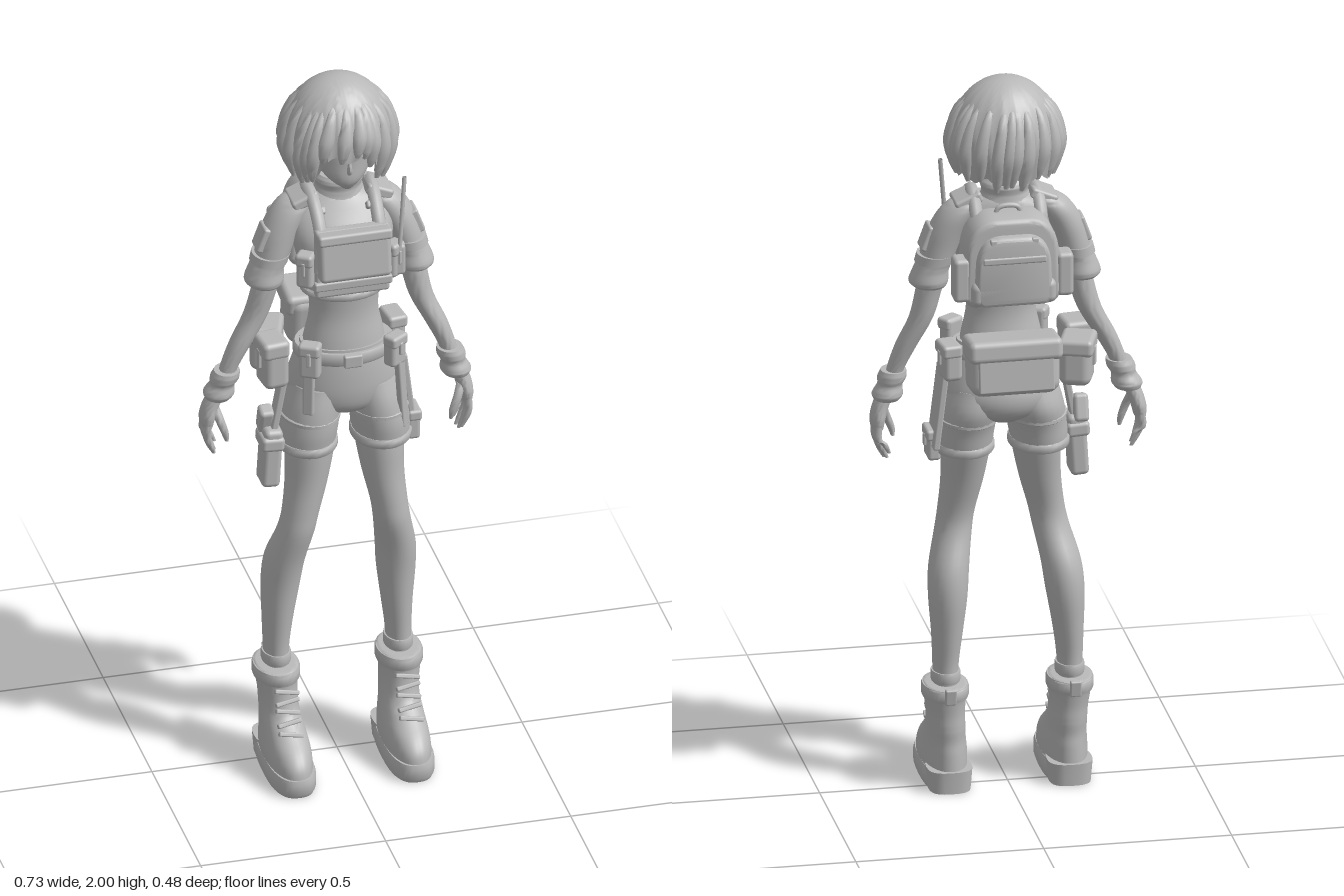
import * as THREE from 'three';
import { toCreasedNormals } from 'three/addons/utils/BufferGeometryUtils.js';
import { RoundedBoxGeometry } from 'three/addons/geometries/RoundedBoxGeometry.js';

const grey = new THREE.MeshStandardMaterial({ color: 0xb8b8b8, side: THREE.DoubleSide });
grey.name = 'plain grey';
const V = (x, y, z) => new THREE.Vector3(x, y, z);
const clamp = THREE.MathUtils.clamp;

// joins closed rings, listed bottom to top, into one surface
function skin(rings, capped = true) {
  const n = rings[0].length, pos = [], idx = [];
  rings.forEach(r => r.forEach(p => pos.push(p.x, p.y, p.z)));
  for (let j = 0; j < rings.length - 1; j++) for (let i = 0; i < n; i++) {
    const a = j * n + i, b = j * n + (i + 1) % n;
    idx.push(a, a + n, b, b, a + n, b + n);
  }
  if (capped) [0, rings.length - 1].forEach(j => {
    const c = rings[j].reduce((s, p) => s.add(p), V(0, 0, 0)).divideScalar(n), k = pos.length / 3;
    pos.push(c.x, c.y, c.z);
    for (let i = 0; i < n; i++) {
      const a = j * n + i, b = j * n + (i + 1) % n;
      j ? idx.push(k, b, a) : idx.push(k, a, b);
    }
  });
  const g = new THREE.BufferGeometry();
  g.setAttribute('position', new THREE.Float32BufferAttribute(pos, 3));
  g.setIndex(idx);
  return toCreasedNormals(g, 0.8);
}

// level oval sections [x, y, z, rx, rz], smoothed between
function loft(secs, sub = 4, n = 24, square = 1) {
  if (secs[0][1] > secs[secs.length - 1][1]) secs = [...secs].reverse();
  const curve = f => new THREE.CatmullRomCurve3(secs.map(f), false, 'catmullrom', 0.5);
  const mid = curve(s => V(s[0], s[1], s[2])), rad = curve(s => V(s[3], s[4], 0));
  const m = (secs.length - 1) * sub, rings = [];
  const pow = v => Math.sign(v) * Math.abs(v) ** square;
  for (let j = 0; j <= m; j++) {
    const c = mid.getPoint(j / m), r = rad.getPoint(j / m);
    rings.push(Array.from({ length: n }, (_, i) => {
      const a = i / n * Math.PI * 2;
      return V(c.x + r.x * pow(Math.cos(a)), c.y, c.z + r.y * pow(Math.sin(a)));
    }));
  }
  return skin(rings);
}

export function createModel() {
  const root = new THREE.Group();
  root.name = 'explorer';
  const add = (name, geo, parent = root) => {
    const m = new THREE.Mesh(geo, grey);
    m.name = name;
    parent.add(m);
    return m;
  };
  const box = (name, x, y, z, w, h, d, r = [0, 0, 0], parent = root) => {
    const m = add(name, new RoundedBoxGeometry(w, h, d, 3, Math.min(w, h, d) * 0.28), parent);
    m.position.set(x, y, z);
    m.rotation.set(...r);
    return m;
  };
  const band = (name, x, y, z, rx, rz, h) => add(name, loft([
    [x, y - h / 2, z, rx * 0.96, rz * 0.96], [x, y - h * 0.3, z, rx, rz],
    [x, y + h * 0.3, z, rx, rz], [x, y + h / 2, z, rx * 0.96, rz * 0.96]], 1, 32));
  const tube = (name, pts, r) => add(name, new THREE.TubeGeometry(new THREE.CatmullRomCurve3(pts.map(p => V(...p))), 24, r, 8));
  // pouch with a lid and a strap tab on its outer face
  const pouch = (name, x, y, z, w, h, d, turn = 0, tilt = 0) => {
    const g = new THREE.Group();
    g.name = name;
    box('pouchBody', 0, 0, 0, w, h, d, [0, 0, 0], g);
    box('pouchLid', 0, h * 0.33, 0.003, w * 1.07, h * 0.36, d * 1.08, [0, 0, 0], g);
    box('pouchTab', 0, h * 0.1, d * 0.53, w * 0.22, h * 0.4, 0.012, [0, 0, 0], g);
    g.position.set(x, y, z);
    g.rotation.set(tilt, turn, 0);
    root.add(g);
  };

  // head and neck
  add('head', loft([[.018, 1.718, .03, .014, .018], [.018, 1.745, .008, .05, .055], [.018, 1.79, -.02, .08, .083],
    [.018, 1.87, -.045, .1, .105], [.018, 1.95, -.055, .06, .07]]));
  add('nose', loft([[.018, 1.77, .06, .007, .008], [.018, 1.785, .063, .007, .011], [.018, 1.815, .057, .004, .006]], 2, 10));
  for (const s of [-1, 1]) add('ear', loft([[.018 + s * .088, 1.77, -.035, .008, .012], [.018 + s * .095, 1.81, -.04, .012, .024], [.018 + s * .095, 1.84, -.045, .008, .015]]));
  add('neck', loft([[.018, 1.64, -.055, .05, .05], [.018, 1.69, -.05, .036, .038], [.018, 1.77, -.04, .04, .042]]));

  // bob haircut: ridged shell, then tapered locks lying on it
  const hairAt = (a, y, k = 1) => {
    const d = Math.max(0, 2 - y);
    const r = k * (d < .17 ? Math.sqrt(1 - (1 - d / .17) ** 2) : 1 - 3.5 * (d - .17) ** 1.5);
    return V(.018 + .147 * r * Math.cos(a), y, -.06 + .14 * r * Math.sin(a));
  };
  const hem = a => 1.748 + .07 * THREE.MathUtils.smoothstep(Math.sin(a), .72, .92) + .01 * Math.sin(a * 11);
  const shell = [];
  for (let j = 0; j <= 20; j++) shell.push(Array.from({ length: 120 }, (_, i) => {
    const a = i / 60 * Math.PI, t = 1 - j / 20, y = 2 - (2 - hem(a)) * t ** 1.6;
    return hairAt(a, y, 1 - .05 * t * Math.abs(Math.sin(a * 10 + t * 2)));
  }));
  add('hairShell', skin(shell, false));
  for (let i = 0; i < 26; i++) {
    const a = i / 13 * Math.PI + .1 * Math.sin(i * 5), low = hem(a) - .012 - .012 * Math.sin(i * 7);
    const sec = [[0, .003], [.25, .013], [.6, .021], [.85, .015], [1, .006]].map(([t, r]) => {
      const p = hairAt(a + .18 * (t - .5), 1.975 - (1.975 - low) * t, .965 - .1 * (t < .2));
      return [p.x, p.y, p.z, r, r * .8];
    });
    add('hairLock', loft(sec, 4, 10));
  }

  // torso, cropped top and collar
  add('waist', loft([[.018, 1.18, -.005, .12, .095], [.018, 1.26, 0, .107, .08], [.018, 1.34, 0, .092, .068], [.018, 1.43, -.005, .1, .078]]));
  add('cropTop', loft([[.018, 1.395, -.008, .1, .08], [.018, 1.41, -.008, .11, .088], [.018, 1.45, -.01, .112, .09], [.018, 1.51, -.01, .126, .1],
    [.018, 1.57, -.022, .138, .095], [.018, 1.63, -.045, .13, .075], [.018, 1.665, -.055, .08, .06], [.018, 1.68, -.055, .05, .045]], 4, 36));
  band('topHem', .018, 1.407, -.008, .115, .093, .022);
  add('collar', loft([[.018, 1.645, -.055, .085, .068], [.018, 1.68, -.055, .062, .058], [.018, 1.705, -.055, .066, .062], [.018, 1.72, -.053, .056, .052]]));

  // chest rig
  box('chestPouch', .02, 1.55, .098, .195, .135, .05, [-.14, 0, 0]);
  box('chestPouchLid', .02, 1.605, .096, .2, .03, .055, [-.14, 0, 0]);
  box('chestPlate', .02, 1.52, .075, .2, .2, .03);
  box('chestStrap', .02, 1.458, .09, .21, .025, .02);
  for (const s of [-1, 1]) {
    pouch('sideChestPouch', .018 + s * .118, 1.5, .062, .045, .1, .04, s * .6);
    box('rigBuckle', .018 + s * .075, 1.645, .02, .04, .02, .025, [-.7, 0, 0]);
    tube('shoulderStrap', [[.018 + s * .085, 1.5, .085], [.018 + s * .08, 1.6, .07], [.018 + s * .082, 1.668, 0],
      [.018 + s * .085, 1.675, -.06], [.018 + s * .085, 1.62, -.12], [.018 + s * .08, 1.5, -.125]], .018);
    box('shoulderPad', .018 + s * .1, 1.663, -.045, .075, .03, .09, [0, 0, -s * .4]);
  }
  box('radio', .148, 1.5, .065, .035, .09, .035);
  tube('radioAerial', [[.148, 1.53, .08], [.158, 1.63, .068], [.169, 1.735, .052]], .006);

  // backpack
  const arch = new THREE.Shape();
  arch.moveTo(-.095, 0);
  arch.lineTo(.095, 0);
  arch.quadraticCurveTo(.115, 0, .115, .03);
  arch.lineTo(.11, .14);
  arch.quadraticCurveTo(.1, .215, .04, .215);
  arch.lineTo(-.04, .215);
  arch.quadraticCurveTo(-.1, .215, -.11, .14);
  arch.lineTo(-.115, .03);
  arch.quadraticCurveTo(-.115, 0, -.095, 0);
  const slab = (name, y, z, k, depth) => {
    const g = new THREE.ExtrudeGeometry(arch, { depth, bevelEnabled: true, bevelSize: .014, bevelThickness: .02, bevelSegments: 4, curveSegments: 8 });
    g.scale(k, k, 1);
    add(name, toCreasedNormals(g, .7)).position.set(.025, y, z);
  };
  slab('backpack', 1.425, -.19, 1, .075);
  slab('backpackPocket', 1.43, -.215, .8, .04);
  box('backpackBase', .025, 1.455, -.2, .225, .065, .07);
  box('backpackPocketLid', .025, 1.55, -.228, .17, .02, .02);
  for (const s of [-1, 1]) {
    box('backpackSidePocket', .022 + s * .137, 1.49, -.18, .045, .12, .06);
    box('backpackStrap', .025 + s * .055, 1.575, -.226, .02, .07, .018);
  }
  tube('backpackHandle', [[-.01, 1.64, -.14], [.0, 1.665, -.14], [.05, 1.665, -.14], [.06, 1.64, -.14]], .007);

  // hips, belt and hip bags
  add('shortsSeat', loft([[.018, 1.035, -.02, .05, .06], [.018, 1.065, -.02, .125, .1], [.018, 1.11, -.02, .15, .113],
    [.018, 1.17, -.012, .14, .105], [.018, 1.23, -.003, .122, .09], [.018, 1.25, 0, .117, .085]], 4, 36));
  band('belt', .018, 1.225, -.003, .135, .1, .036);
  box('beltBuckle', .018, 1.225, .098, .05, .036, .018);
  const bag = box('waistBag', .02, 1.235, -.17, .24, .15, .12, [.12, 0, 0]);
  box('waistBagLid', 0, .05, -.01, .25, .06, .125, [0, 0, 0], bag);
  box('waistBagFlap', 0, -.005, -.06, .2, .11, .014, [0, 0, 0], bag);
  pouch('rightHipPouch', -.168, 1.205, -.085, .1, .13, .085, -1.9);
  pouch('rightSidePouch', -.178, 1.21, .015, .085, .14, .07, -1.45);
  pouch('rightFrontPouch', -.095, 1.24, .088, .055, .1, .04, -.5);
  pouch('leftFrontPouch', .135, 1.235, .08, .055, .09, .04, .6);
  pouch('leftHipPouch', .165, 1.215, -.06, .075, .1, .05, 1.7);
  box('rightHangingStrap', -.1, 1.15, .09, .03, .15, .02, [.05, -.5, 0]);
  box('leftHangingStrap', .155, 1.1, .075, .03, .22, .018, [0, .8, .12]);
  box('leftThighFlap', .187, 1.07, -.015, .018, .22, .09, [0, 0, .12]);
  pouch('leftThighPouch', .2, .965, 0, .07, .085, .035, 1.57);

  // holster on the right thigh
  box('holster', -.187, .93, .02, .05, .17, .075, [0, 0, -.06]);
  box('holsterCuff', -.186, .975, .02, .062, .04, .085, [0, 0, -.06]);
  box('sidearmGrip', -.195, 1.03, .005, .04, .075, .045, [.3, 0, 0]);
  box('holsterHanger', -.165, 1.08, .02, .018, .16, .04, [0, 0, -.18]);

  // limbs, mirrored about a midline that leans slightly with height
  for (const s of [-1, 1]) {
    const legX = (x, y) => .018 * clamp((y - .4) / .6, 0, 1) + s * x;
    const armX = (x, y) => .014 * clamp((y - 1) / .4, 0, 1) + s * x;
    const leg = (name, secs, ...o) => add(name, loft(secs.map(([x, y, ...r]) => [legX(x, y), y, ...r]), ...o));
    const armZ = y => (s < 0 ? -.032 : .004) * clamp((1.45 - y) / .35, 0, 1);
    const arm = (name, secs, ...o) => add(name, loft(secs.map(([x, y, z, ...r]) => [armX(x, y), y, z + armZ(y), ...r]), ...o));

    leg('leg', [[.165, .26, 0, .033, .045], [.165, .34, 0, .034, .046], [.161, .43, -.003, .041, .055], [.156, .53, -.004, .051, .064],
      [.149, .61, .007, .053, .066], [.13, .7, .034, .049, .058], [.119, .76, .037, .049, .056], [.103, .85, .025, .056, .066], [.093, .95, .01, .065, .082], [.08, 1.06, -.01, .068, .095]]);
    leg('shortsLeg', [[.1, .94, .005, .072, .088], [.1, .965, .003, .076, .093], [.095, 1.01, 0, .078, .1], [.085, 1.07, -.012, .078, .107], [.07, 1.13, -.015, .075, .095]]);
    band('thighStrap', legX(.1, .955), .955, .004, .081, .097, .026);
    band('shortsFold', legX(.092, 1.035), 1.035, -.005, .081, .105, .014);

    // boot
    leg('bootSole', [[.16, 0, .08, .06, .15], [.16, .012, .08, .064, .157], [.16, .04, .08, .064, .157], [.16, .052, .08, .06, .153]], 1, 36, .75);
    leg('bootHeel', [[.16, 0, -.02, .055, .057], [.16, .06, -.02, .06, .06]], 1, 24, .7);
    leg('boot', [[.16, .04, .08, .06, .152], [.16, .075, .077, .06, .147], [.16, .105, .065, .057, .133], [.161, .135, .043, .053, .108],
      [.162, .17, .018, .05, .086], [.164, .21, .01, .05, .078], [.166, .25, .005, .054, .078], [.166, .285, .002, .058, .08], [.166, .29, .002, .04, .055]], 4, 32, .9);
    band('bootCuff', legX(.166, .27), .27, .003, .062, .084, .035);
    band('sock', legX(.165, .31), .31, 0, .039, .051, .03);
    box('bootPullTab', s * .166, .275, -.081, .03, .045, .016, [-.15, 0, 0]);
    for (let i = 0; i < 5; i++) box('bootLace', s * .163, .145 + i * .026, .147 - i * .0155 + (i > 2 ? (i - 2) * .009 : 0), .065, .012, .02, [-.5, 0, (i % 2 - .5) * .35]);

    // arm and sleeve
    arm('arm', [[.302, 1.13, 0, .022, .026], [.292, 1.18, -.004, .023, .027], [.262, 1.25, -.012, .029, .033], [.222, 1.33, -.024, .032, .035], [.198, 1.42, -.03, .035, .037], [.17, 1.52, -.04, .04, .042]]);
    arm('sleeve', [[.201, 1.422, -.032, .045, .052], [.203, 1.435, -.032, .052, .06], [.196, 1.47, -.034, .046, .054], [.183, 1.5, -.036, .046, .055],
      [.172, 1.535, -.038, .048, .056], [.155, 1.58, -.042, .05, .057], [.13, 1.625, -.047, .05, .055], [.105, 1.655, -.05, .045, .045], [.09, 1.667, -.05, .02, .025]]);
    arm('sleeveBand', [[.19, 1.488, -.035, .05, .058], [.183, 1.512, -.036, .051, .059]], 1);
    box('sleevePatchPocket', armX(.207, 1.55), 1.557, -.036, .022, .07, .06, [0, 0, s * .35]);

    // wrist cuff and hand
    arm('wristCuff', [[.318, 1.095, 0, .034, .038], [.315, 1.11, 0, .041, .045], [.308, 1.135, 0, .033, .037], [.302, 1.155, 0, .038, .042], [.297, 1.175, 0, .034, .038]]);
    arm('palm', [[.346, 1.015, 0, .016, .033], [.344, 1.04, 0, .02, .038], [.335, 1.075, 0, .022, .032], [.318, 1.115, 0, .022, .026]]);
    [-.026, -.009, .009, .026].forEach((z, i) => {
      const d = [.02, .003, 0, .01][i];
      arm('finger', [[.318 + i * .004, .928 + d, z * .8, .005, .005], [.332 + i * .003, .955 + d, z * .9, .009, .009], [.348, .99, z, .01, .01], [.346, 1.03, z, .01, .01]], 3, 10);
    });
    arm('thumb', [[.298, .975, .034, .005, .005], [.303, 1.0, .034, .01, .01], [.316, 1.035, .03, .012, .012], [.328, 1.07, .014, .012, .012]], 3, 10);
  }
  return root;
}
